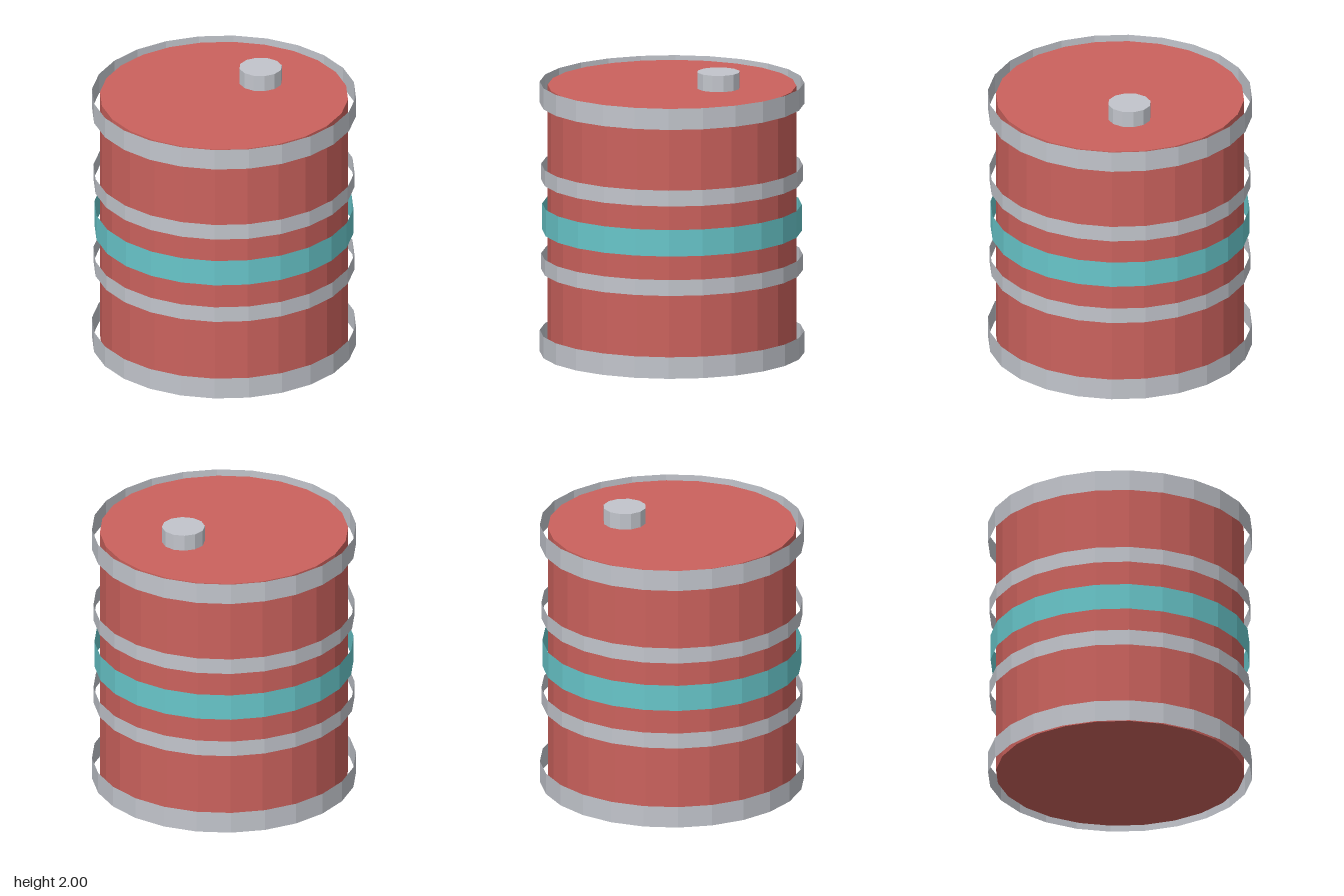
import * as THREE from 'three';

const SIDES = 24;

function material(name, color, extra = {}) {
  const m = new THREE.MeshStandardMaterial({ color, flatShading: true, ...extra });
  m.name = name;
  return m;
}

export function createModel() {
  const group = new THREE.Group();
  group.name = 'drum';

  const red = material('red paint', 0xcb625d);
  const steel = material('grey steel', 0xc2c5cc, { side: THREE.DoubleSide });
  const teal = material('teal paint', 0x68c6ca, { side: THREE.DoubleSide });

  // Upright cylinder between two heights
  function addCylinder(name, radius, y0, y1, mat, { sides = SIDES, open = false, x = 0 } = {}) {
    const geometry = new THREE.CylinderGeometry(radius, radius, y1 - y0, sides, 1, open);
    const mesh = new THREE.Mesh(geometry, mat);
    mesh.name = name;
    mesh.position.set(x, (y0 + y1) / 2, 0);
    group.add(mesh);
  }

  // Closed body, slightly recessed inside the end rims
  addCylinder('body', 0.86, 0.02, 1.885, red);

  // Thin open hoops standing clear of the body
  const hoops = [
    ['bottomRim', 0.915, 0, 0.152, steel],
    ['lowerRib', 0.905, 0.583, 0.695, steel],
    ['stripe', 0.898, 0.86, 1.047, teal],
    ['upperRib', 0.905, 1.215, 1.327, steel],
    ['topRim', 0.915, 1.758, 1.907, steel],
  ];
  for (const [name, radius, y0, y1, mat] of hoops) {
    addCylinder(name, radius, y0, y1, mat, { open: true });
  }

  // Filler cap on the lid
  addCylinder('fillerCap', 0.149, 1.87, 2, steel, { sides: 12, x: 0.335 });

  return group;
}
